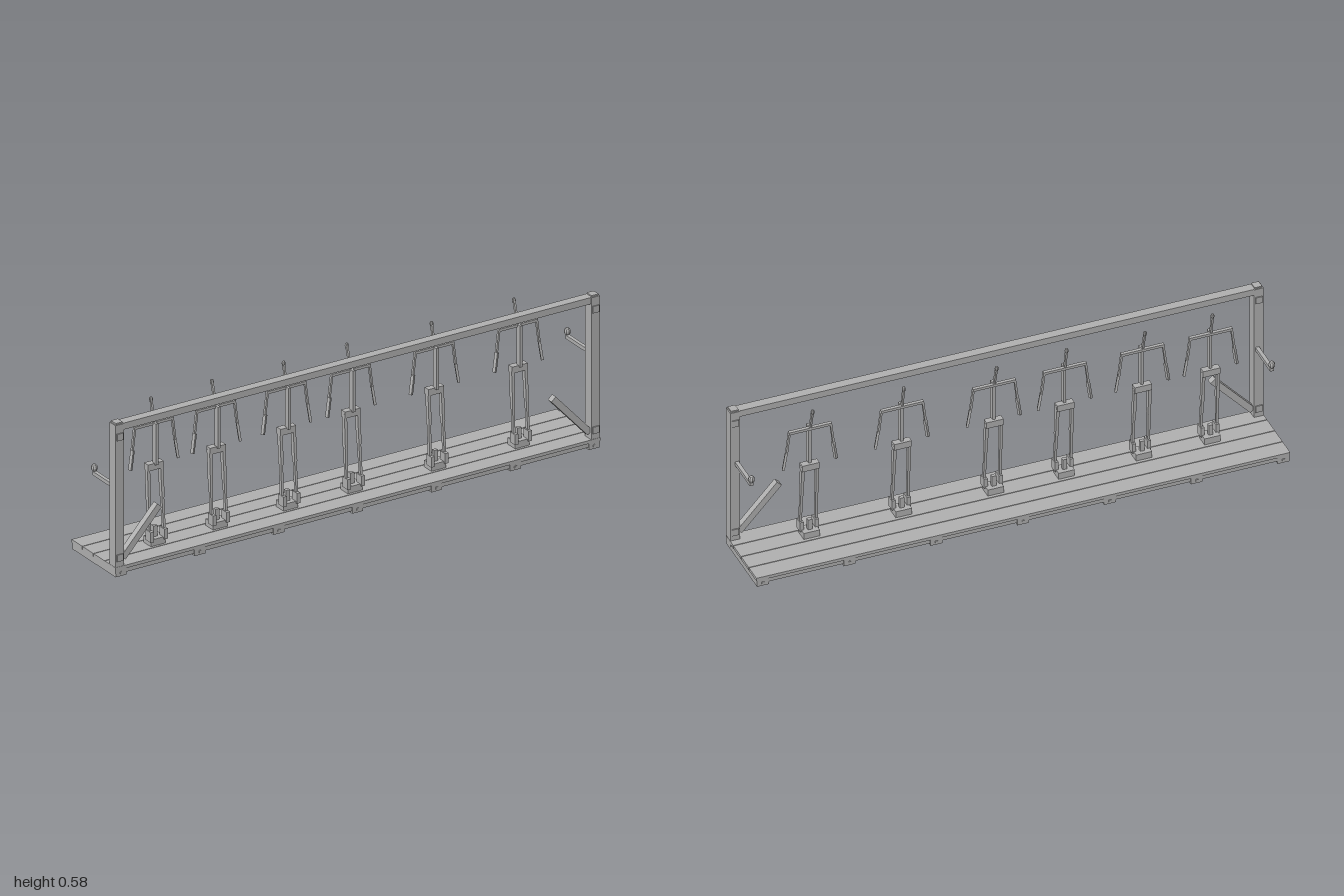
import * as THREE from 'three';

const grey = new THREE.MeshStandardMaterial({ color: 0xb0b0b0 });
grey.name = 'grey';

function add(parent, name, geometry, x = 0, y = 0, z = 0) {
  const mesh = new THREE.Mesh(geometry, grey);
  mesh.name = name;
  mesh.position.set(x, y, z);
  parent.add(mesh);
  return mesh;
}

// Box given by its minimum and maximum on each axis
function box(parent, name, x0, x1, y0, y1, z0, z1) {
  const g = new THREE.BoxGeometry(x1 - x0, y1 - y0, z1 - z0);
  return add(parent, name, g, (x0 + x1) / 2, (y0 + y1) / 2, (z0 + z1) / 2);
}

// Rectangular bar running between two points
function bar(parent, name, a, b, width, depth) {
  const p = new THREE.Vector3(...a), q = new THREE.Vector3(...b);
  const d = q.clone().sub(p);
  const mesh = add(parent, name, new THREE.BoxGeometry(width, d.length(), depth));
  mesh.position.copy(p).add(q).multiplyScalar(0.5);
  mesh.quaternion.setFromUnitVectors(new THREE.Vector3(0, 1, 0), d.normalize());
  return mesh;
}

// Hexagonal bolt head pointing along z
function bolt(parent, x, y, z, radius) {
  const g = new THREE.CylinderGeometry(radius, radius, 0.005, 6).toNonIndexed();
  g.computeVertexNormals();
  add(parent, 'bolt', g, x, y, z).rotation.x = Math.PI / 2;
}

// Faceted round knob
function knob(parent, name, x, y, z, radius, stretch = 1) {
  const g = new THREE.SphereGeometry(radius, 8, 6).toNonIndexed();
  g.scale(1, stretch, 1);
  g.computeVertexNormals();
  add(parent, name, g, x, y, z);
}

function platform() {
  const g = new THREE.Group();
  g.name = 'platform';
  for (let i = 0; i < 4; i++) {
    const z = -0.14 + i * 0.0707;
    box(g, 'plank', -0.995, 0.995, 0.028, 0.04, z, z + 0.0679);
  }
  for (let i = -3; i <= 3; i++) {
    const x = i * 0.3235;
    box(g, 'joist', x - 0.022, x + 0.022, 0.003, 0.028, -0.139, 0.139);
    for (const s of [-1, 1]) bolt(g, x, 0.015, s * 0.14, 0.006);
  }
  for (const z of [-0.127, 0.127]) box(g, 'rail', -0.985, 0.985, 0.012, 0.028, z - 0.009, z + 0.009);
  return g;
}

function frame() {
  const g = new THREE.Group();
  g.name = 'frame';
  box(g, 'topBeam', -0.99, 0.99, 0.555, 0.58, 0.102, 0.137);
  for (const s of [-1, 1]) {
    const x = s * 0.976;
    box(g, 'post', x - 0.018, x + 0.018, 0.015, 0.579, 0.1, 0.139);
    box(g, 'postCap', x - 0.014, x + 0.014, 0.579, 0.585, 0.104, 0.135);
    for (const y of [0.074, 0.533]) {
      for (const z of [0.099, 0.14]) box(g, 'fixingPlate', x - 0.013, x + 0.013, y - 0.013, y + 0.013, z - 0.003, z + 0.003);
    }
    bar(g, 'brace', [s * 0.957, 0.065, 0.12], [s * 0.808, 0.228, 0.12], 0.024, 0.024);
    // Rear arm ending in an upright knob
    const y = s > 0 ? 0.363 : 0.328, hx = s * 0.97;
    box(g, 'hookArm', hx - 0.007, hx + 0.007, y - 0.007, y + 0.007, -0.035, 0.1);
    knob(g, 'hookKnob', hx, y + 0.02, -0.033, 0.012, 1.2);
  }
  return g;
}

function dummy(x, tilt) {
  const g = new THREE.Group();
  g.name = 'trainingDummy';
  g.position.x = x;
  // Foot block with a centre peg and side cheeks
  box(g, 'foot', -0.03, 0.03, 0.04, 0.065, 0.013, 0.06);
  box(g, 'footPeg', -0.008, 0.008, 0.06, 0.106, 0.028, 0.042);
  box(g, 'hip', -0.032, 0.032, 0.32, 0.345, 0.02, 0.045);
  box(g, 'spine', -0.005, 0.005, 0.34, 0.497, 0.03, 0.053);
  box(g, 'shoulderBar', -0.08, 0.08, 0.487, 0.497, 0.023, 0.036);
  for (const s of [-1, 1]) {
    box(g, 'ankle', s * 0.028 - 0.007, s * 0.028 + 0.007, 0.058, 0.097, 0.035, 0.067);
    bar(g, 'shin', [s * 0.03, 0.075, 0.05], [s * 0.028, 0.215, 0.041], 0.009, 0.012);
    bar(g, 'thigh', [s * 0.028, 0.21, 0.041], [s * 0.027, 0.335, 0.033], 0.011, 0.017);
    bar(g, 'upperArm', [s * 0.077, 0.493, 0.03], [s * 0.088, 0.405, 0.03], 0.007, 0.01);
    bar(g, 'forearm', [s * 0.087, 0.41, 0.032], [s * 0.098, 0.338, 0.034], 0.009, 0.012);
  }
  // Neck leaning back to a small knob
  bar(g, 'neck', [0, 0.485, 0.032], [0, 0.578, tilt], 0.007, 0.01);
  knob(g, 'headKnob', 0, 0.576, tilt, 0.007, 1.5);
  return g;
}

export function createModel() {
  const model = new THREE.Group();
  model.name = 'trainingRack';
  model.add(platform(), frame());
  [-0.768, -0.513, -0.224, 0.04, 0.383, 0.726].forEach((x, i) => model.add(dummy(x, i % 2 ? 0.006 : 0.014)));
  return model;
}
